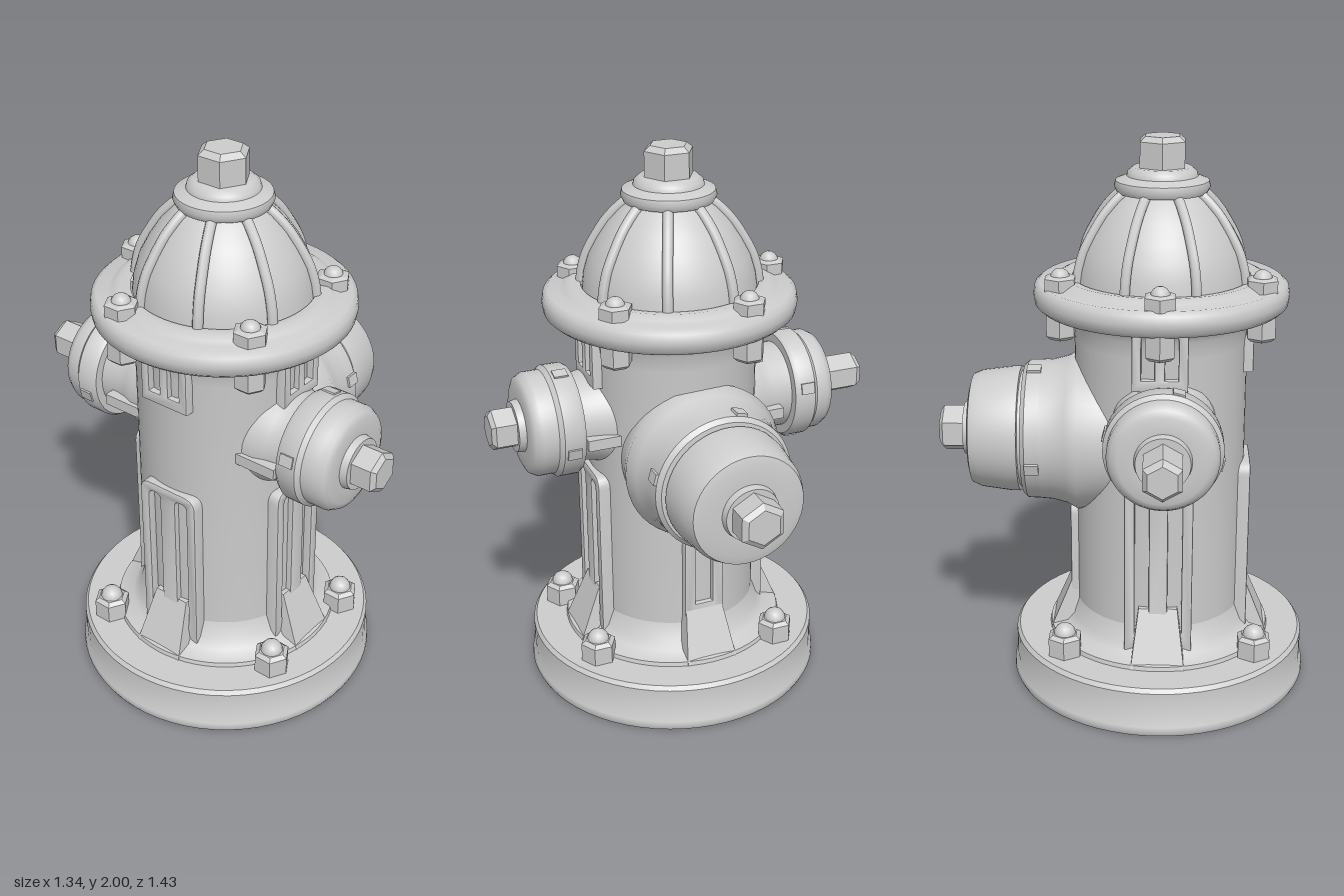
import * as THREE from 'three';
import { toCreasedNormals } from 'three/addons/utils/BufferGeometryUtils.js';

export function createModel() {
  const iron = new THREE.MeshStandardMaterial({ color: 0xcccccc });
  iron.name = 'paintedIron';
  const model = new THREE.Group();
  model.name = 'fireHydrant';

  // Everything is built around the barrel axis, then shifted
  const hydrant = new THREE.Group();
  hydrant.name = 'hydrant';
  hydrant.position.set(-0.125, 0, 0.045);
  model.add(hydrant);

  const add = (parent, name, geo, x = 0, y = 0, z = 0) => {
    const mesh = new THREE.Mesh(geo, iron);
    mesh.name = name;
    mesh.position.set(x, y, z);
    parent.add(mesh);
    return mesh;
  };
  const lathe = (pts, seg = 64, crease = 0.6) => toCreasedNormals(
    new THREE.LatheGeometry(pts.map(p => new THREE.Vector2(...p)), seg), crease);
  // Hexagonal nut with chamfered top, standing on y = 0
  const hexNut = (r, h) => lathe(
    [[0, 0], [r, 0], [r, h * 0.86], [r * 0.75, h], [0, h]], 6, 0.3);

  // Base disc and collar
  add(hydrant, 'base', lathe([[0, 0], [0.54, 0], [0.547, 0.015], [0.545, 0.035],
    [0.536, 0.05], [0.536, 0.165], [0.525, 0.18], [0, 0.18]]));
  add(hydrant, 'baseCollar', lathe([[0.41, 0.175], [0.405, 0.195], [0.35, 0.21],
    [0.325, 0.24], [0.305, 0.3]], 64, 0.8));

  // Barrel
  add(hydrant, 'barrel', lathe([[0.305, 0.18], [0.305, 1.3], [0.312, 1.36],
    [0.33, 1.4], [0.37, 1.43]]));

  // Bonnet flange with raised lip
  add(hydrant, 'bonnetFlange', lathe([[0.3, 1.415], [0.425, 1.415], [0.442, 1.43],
    [0.447, 1.46], [0.442, 1.49], [0.425, 1.505], [0.385, 1.502], [0.37, 1.512],
    [0.345, 1.525], [0.31, 1.52]], 64, 0.9));

  // Dome with eight ribs
  const domeProfile = [[0.315, 1.51], [0.308, 1.56], [0.29, 1.62], [0.258, 1.68],
    [0.218, 1.74], [0.17, 1.79], [0.13, 1.82]];
  add(hydrant, 'dome', lathe(domeProfile.map(([r, y]) => [r - 0.01, y]), 64, 1));
  const ribCurve = new THREE.CatmullRomCurve3(
    domeProfile.map(([r, y]) => new THREE.Vector3(r - 0.004, y, 0)));
  const ribGeo = new THREE.TubeGeometry(ribCurve, 20, 0.018, 8);
  for (let i = 0; i < 8; i++) {
    add(hydrant, 'domeRib', ribGeo).rotation.y = (i + 0.5) * Math.PI / 4;
  }

  // Crown and operating nut
  add(hydrant, 'crown', lathe([[0.13, 1.805], [0.155, 1.81], [0.165, 1.83], [0.16, 1.85],
    [0.135, 1.86], [0.122, 1.865], [0.118, 1.88], [0.1, 1.895], [0, 1.895]], 48, 0.8));
  add(hydrant, 'operatingNut', hexNut(0.088, 0.125), 0, 1.875, 0);

  // Bolts: dir is [x, z] from the axis
  const boltHead = hexNut(0.058, 0.05), boltTip = new THREE.SphereGeometry(0.034, 16, 8);
  const underNut = hexNut(0.055, 0.09);
  for (const [x, z] of [[0, -0.38], [0.342, -0.15], [-0.342, -0.15], [0.226, 0.28], [-0.226, 0.28]]) {
    add(hydrant, 'bonnetBolt', boltHead, x, 1.5, z);
    add(hydrant, 'bonnetBoltTip', boltTip, x, 1.542, z);
    add(hydrant, 'bonnetLowerNut', underNut, x, 1.42, z).rotation.x = Math.PI;
  }
  const baseNut = hexNut(0.065, 0.085), baseTip = new THREE.SphereGeometry(0.04, 16, 8);
  for (const [x, z] of [[0.215, 0.375], [-0.215, 0.375], [0.335, -0.28], [-0.345, -0.27]]) {
    add(hydrant, 'baseBolt', baseNut, x, 0.175, z);
    add(hydrant, 'baseBoltTip', baseTip, x, 0.257, z);
  }

  // Round-topped outline, used for panels and their slots
  const arch = (ShapeType, cx, w, y0, y1, round) => {
    const s = new ShapeType(), h = w / 2;
    s.moveTo(cx - h, y0);
    s.lineTo(cx + h, y0);
    s.lineTo(cx + h, y1 - round);
    s.quadraticCurveTo(cx + h, y1, cx + h - round, y1);
    s.lineTo(cx - h + round, y1);
    s.quadraticCurveTo(cx - h, y1, cx - h, y1 - round);
    s.closePath();
    return s;
  };
  const panel = (w, y0, y1, slots, slotWidth, margin) => {
    const s = arch(THREE.Shape, 0, w, y0, y1, 0.04);
    for (const cx of slots) {
      s.holes.push(arch(THREE.Path, cx, slotWidth, y0 + margin, y1 - 0.025, slotWidth * 0.45));
    }
    const g = new THREE.ExtrudeGeometry(s, { depth: 0.073, bevelEnabled: true,
      bevelSize: 0.005, bevelThickness: 0.006, bevelSegments: 2, curveSegments: 6 });
    return toCreasedNormals(g.translate(0, 0, 0.245), 0.6);
  };
  // Sloping foot: a box whose upper outer edge is pulled in
  const foot = new THREE.BoxGeometry(0.19, 0.2, 0.15);
  const p = foot.attributes.position;
  for (let i = 0; i < p.count; i++) {
    if (p.getY(i) > 0) {
      p.setX(i, p.getX(i) * 0.72);
      if (p.getZ(i) > 0) p.setZ(i, -0.008);
    }
  }
  foot.computeVertexNormals();

  // Slotted panels on the four sides; the one under the large outlet is short
  const tall = panel(0.23, 0.22, 0.85, [-0.058, 0.058], 0.06, 0.06);
  const short = panel(0.14, 0.22, 0.67, [0], 0.075, 0.16);
  const upper = panel(0.18, 1.2, 1.42, [-0.04, 0.04], 0.055, 0.03);
  for (let i = 0; i < 4; i++) {
    const side = new THREE.Group();
    side.name = 'sidePanel';
    side.rotation.y = i * Math.PI / 2;
    hydrant.add(side);
    add(side, 'slottedPanel', i === 1 ? short : tall);
    if (i !== 1) add(side, 'upperPanel', upper);
    add(side, 'panelFoot', foot, 0, 0.28, 0.325);
  }

  // Outlets: profiles are [radius, distance from the barrel axis]
  const outlet = (name, angle, x, y, z, neck, cap, nutR, nutStart, nutEnd, lugR, lugAt) => {
    const g = new THREE.Group();
    g.name = name;
    g.position.set(x, y, z);
    g.rotation.y = angle;
    hydrant.add(g);
    const axis = new THREE.Group();
    axis.name = name + 'Axis';
    axis.rotation.x = Math.PI / 2;
    g.add(axis);
    add(axis, name + 'Neck', lathe(neck, 48, 0.8));
    add(axis, name + 'Cap', lathe(cap, 48, 0.7));
    add(axis, name + 'Nut', hexNut(nutR, nutEnd - nutStart), 0, nutStart, 0);
    // Lugs around the flange
    for (let i = 0; i < 4; i++) {
      const a = i * Math.PI / 2 + 0.25;
      add(axis, name + 'Lug', new THREE.BoxGeometry(0.03, 0.05, 0.04),
        Math.cos(a) * lugR, lugAt, Math.sin(a) * lugR).rotation.y = -a;
    }
    return g;
  };
  const smallCap = (a, b, c, d) => [[0.15, a], [0.19, a], [0.2, a + 0.015], [0.2, b - 0.015],
    [0.186, b], [0.186, c - 0.035], [0.172, c - 0.01], [0.15, c], [0.095, c],
    [0.09, d], [0, d]];
  const smallNeck = end => [[0.18, 0.15], [0.18, 0.27], [0.165, 0.31], [0.158, 0.35], [0.158, end]];
  const smalls = [
    outlet('frontOutlet', 0, -0.022, 1.05, 0, smallNeck(0.4),
      smallCap(0.375, 0.47, 0.56, 0.585), 0.077, 0.575, 0.673, 0.19, 0.42),
    outlet('backOutlet', Math.PI, -0.015, 1.05, 0, smallNeck(0.44),
      smallCap(0.42, 0.51, 0.585, 0.61), 0.073, 0.6, 0.76, 0.19, 0.465),
  ];
  // Webs joining the small outlets to the barrel
  for (const g of smalls) {
    for (const s of [-1, 1]) add(g, 'outletWeb', new THREE.BoxGeometry(0.06, 0.04, 0.16), s * 0.165, -0.03, 0.29);
  }
  outlet('sideOutlet', Math.PI / 2, 0, 0.945, -0.01,
    [[0.25, 0.08], [0.27, 0.22], [0.29, 0.29], [0.268, 0.33], [0.255, 0.38], [0.252, 0.42]],
    [[0.2, 0.41], [0.252, 0.412], [0.25, 0.47], [0.235, 0.486], [0.21, 0.488], [0.21, 0.498],
      [0.226, 0.5], [0.226, 0.53], [0.212, 0.64], [0.198, 0.672], [0.17, 0.68], [0.1, 0.68],
      [0.095, 0.705], [0, 0.705]],
    0.085, 0.695, 0.793, 0.245, 0.445);

  return model;
}
